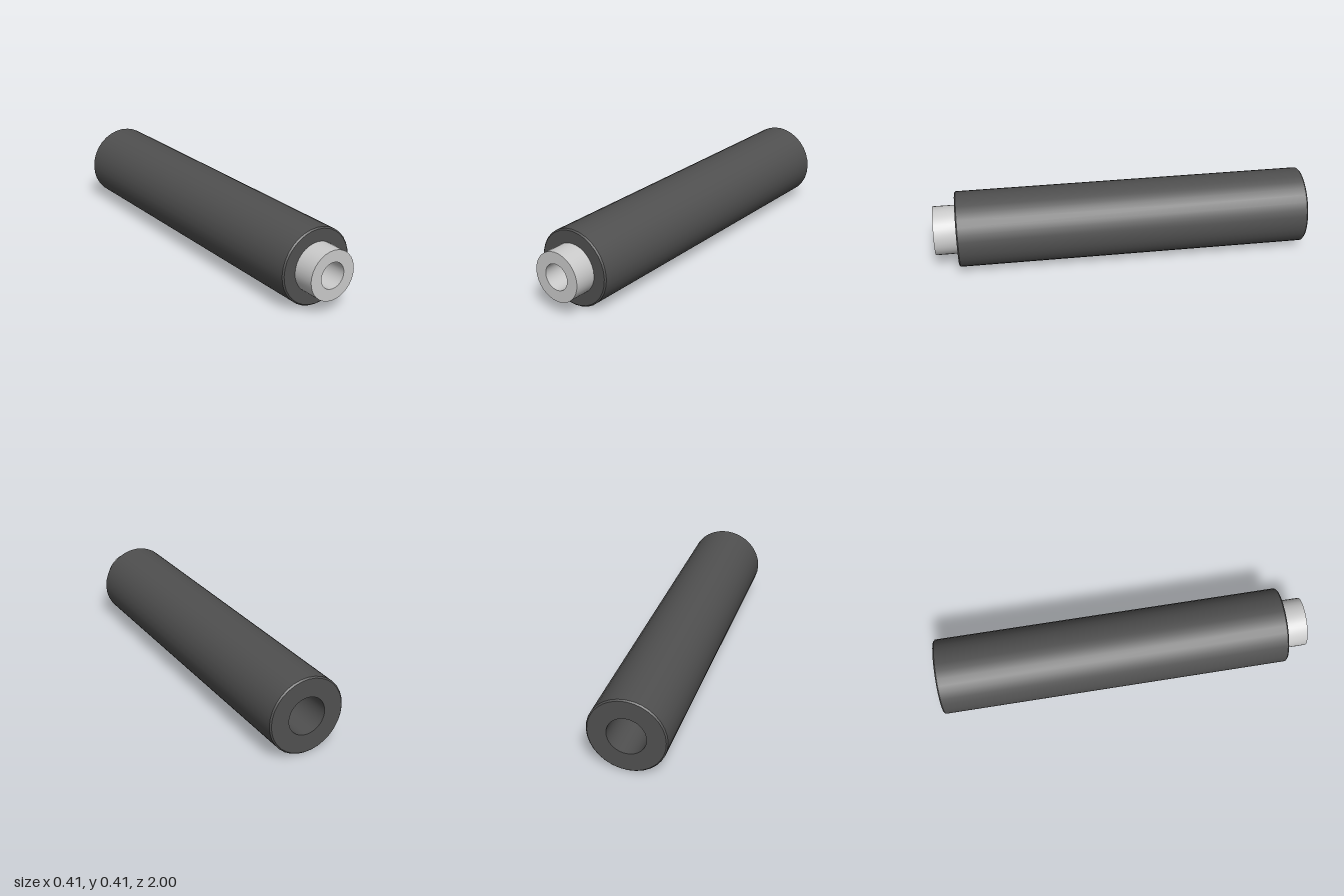
import * as THREE from 'three';
import { toCreasedNormals } from 'three/addons/utils/BufferGeometryUtils.js';

const AXIS_Y = 0.203;

// Closed ring profile [radius, z] turned around the z axis
function turned(name, profile, color) {
  const points = [...profile, profile[0]].map(([r, z]) => new THREE.Vector2(r, z));
  const lathe = new THREE.LatheGeometry(points, 32).rotateX(Math.PI / 2);
  const mesh = new THREE.Mesh(
    toCreasedNormals(lathe, 0.5),
    new THREE.MeshStandardMaterial({ color })
  );
  mesh.name = name;
  mesh.position.y = AXIS_Y;
  return mesh;
}

export function createModel() {
  const group = new THREE.Group();
  group.name = 'hollowCylinder';

  // Long dark sleeve with lightly bevelled rims and an open bore
  const R = 0.203, bore = 0.1, back = -1, front = 0.88, bevel = 0.007;
  group.add(turned('sleeve', [
    [bore, back], [R - bevel, back], [R, back + bevel],
    [R, front - bevel], [R - bevel, front], [bore, front],
  ], 0x505050));

  // Light collar projecting from the front, seated slightly inside the sleeve
  group.add(turned('collar', [
    [0.069, 0.86], [0.131, 0.86], [0.131, 1], [0.069, 1],
  ], 0xcccccc));

  return group;
}
